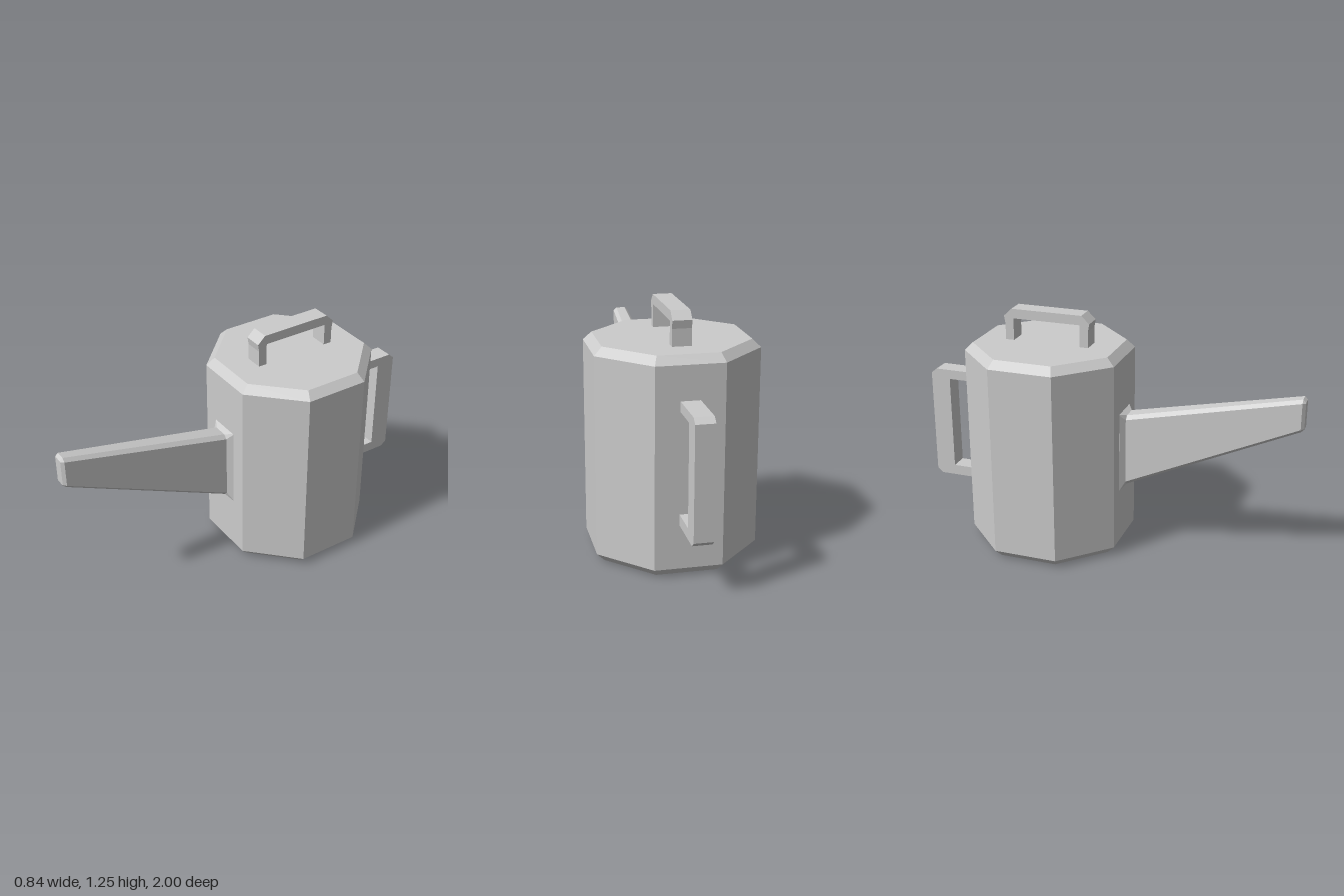
import * as THREE from 'three';

const material = new THREE.MeshStandardMaterial({ color: 0xcccccc, flatShading: true });

function addPart(parent, name, geometry) {
  const mesh = new THREE.Mesh(geometry, material);
  mesh.name = name;
  parent.add(mesh);
  return mesh;
}

// Rectangle with cut corners, counter-clockwise seen from +z
function ring({ z, w, y0, y1, c }) {
  return [
    [-w + c, y0], [w - c, y0], [w, y0 + c], [w, y1 - c],
    [w - c, y1], [-w + c, y1], [-w, y1 - c], [-w, y0 + c],
  ].map(([x, y]) => [x, y, z]);
}

// Skin over successive rings, closed at the last one
function loft(sections) {
  const rings = sections.map(ring);
  const n = rings[0].length;
  const index = [];
  for (let r = 0; r < rings.length - 1; r++) {
    for (let i = 0; i < n; i++) {
      const a = r * n + i, b = r * n + (i + 1) % n;
      index.push(a, b, b + n, a, b + n, a + n);
    }
  }
  const last = (rings.length - 1) * n;
  for (let i = 1; i < n - 1; i++) index.push(last, last + i, last + i + 1);
  const geometry = new THREE.BufferGeometry();
  geometry.setAttribute('position', new THREE.Float32BufferAttribute(rings.flat(2), 3));
  geometry.setIndex(index);
  geometry.computeVertexNormals();
  return geometry;
}

// Side profile of (z, y) points given a width along x
function bracket(points, width) {
  const shape = new THREE.Shape(points.map(([z, y]) => new THREE.Vector2(z, y)));
  return new THREE.ExtrudeGeometry(shape, { depth: width, bevelEnabled: false })
    .translate(0, 0, -width / 2)
    .rotateY(-Math.PI / 2);
}

export function createModel() {
  const model = new THREE.Group();
  model.name = 'wateringCan';

  // The whole can is turned slightly about its vertical axis
  const can = new THREE.Group();
  can.name = 'can';
  can.position.z = -0.33;
  can.rotation.y = -0.115;
  model.add(can);

  // Eight-sided body with bevelled rims
  const profile = [[0, 0], [0.394, 0], [0.437, 0.042], [0.437, 1.045], [0.394, 1.085], [0, 1.085]]
    .map(([x, y]) => new THREE.Vector2(x, y));
  addPart(can, 'body', new THREE.LatheGeometry(profile, 8, Math.PI / 8));

  // Tapering spout with a flared foot and a bevelled tip
  addPart(can, 'spout', loft([
    { z: 0.395, w: 0.083, y0: 0.33, y1: 0.76, c: 0.003 },
    { z: 0.404, w: 0.083, y0: 0.33, y1: 0.76, c: 0.003 },
    { z: 0.43, w: 0.058, y0: 0.36, y1: 0.745, c: 0.02 },
    { z: 1.315, w: 0.042, y0: 0.77, y1: 0.94, c: 0.017 },
    { z: 1.33, w: 0.027, y0: 0.785, y1: 0.925, c: 0.004 },
  ]));

  // Rear grip
  addPart(can, 'rearHandle', bracket([
    [-0.395, 0.265], [-0.64, 0.265], [-0.67, 0.29], [-0.67, 0.85], [-0.64, 0.875], [-0.395, 0.875],
    [-0.395, 0.825], [-0.565, 0.825], [-0.565, 0.32], [-0.395, 0.32],
  ], 0.095));

  // Carrying handle on the lid
  addPart(can, 'topHandle', bracket([
    [0.225, 1.08], [0.225, 1.17], [0.232, 1.21], [0.19, 1.25],
    [-0.19, 1.25], [-0.232, 1.21], [-0.225, 1.17], [-0.225, 1.08],
    [-0.18, 1.08], [-0.18, 1.2], [0.18, 1.2], [0.18, 1.08],
  ], 0.095));

  return model;
}
